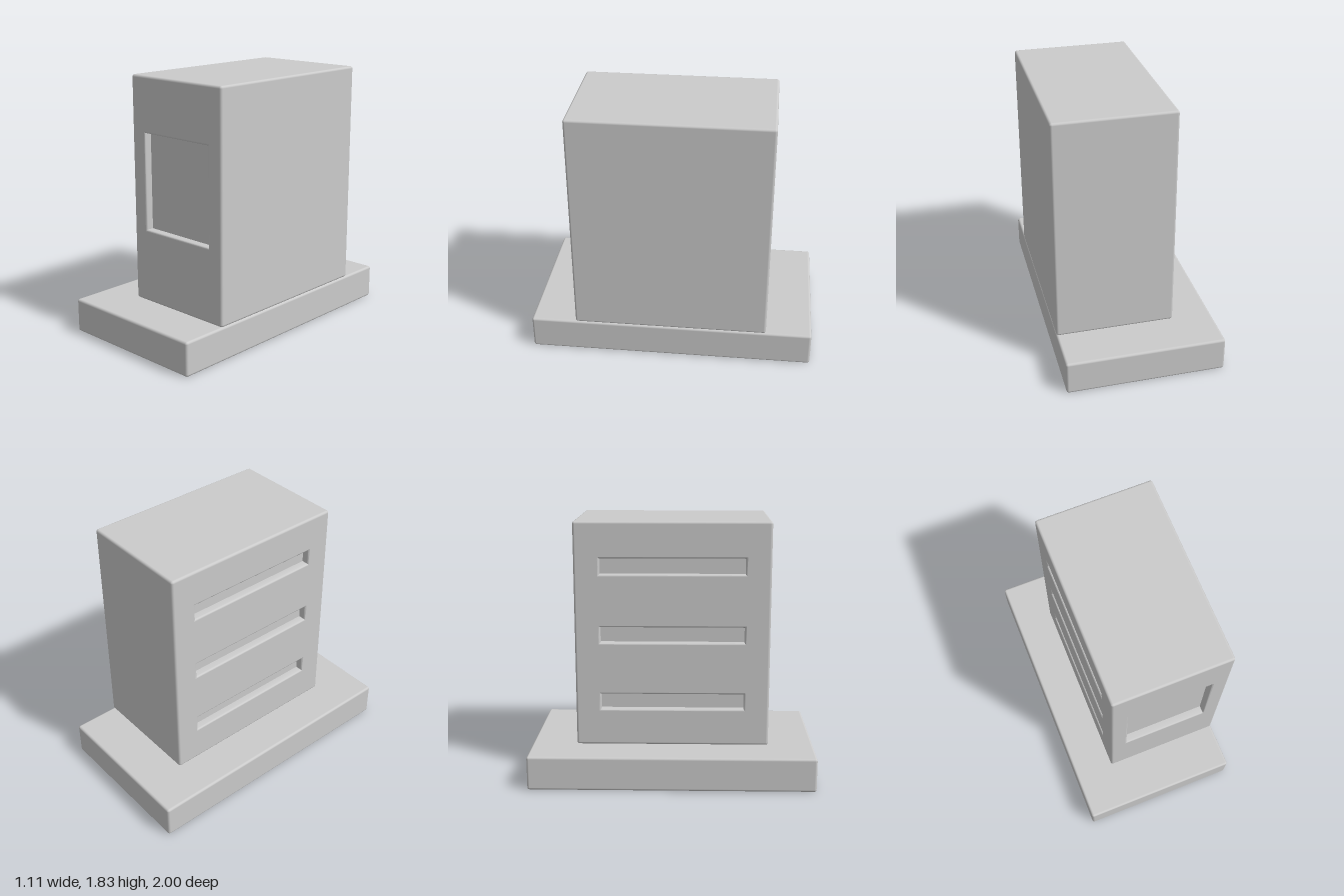
import * as THREE from 'three';
import { toCreasedNormals } from 'three/addons/utils/BufferGeometryUtils.js';

const material = new THREE.MeshStandardMaterial({ color: 0xcccccc });
const BEVEL = 0.017; // rounding of the outer edges
const RIM = 0.012;   // rounding of the recess rims

function addMesh(parent, name, geometry) {
  const mesh = new THREE.Mesh(geometry, material);
  mesh.name = name;
  parent.add(mesh);
  return mesh;
}

// Box with flat faces and rounded edges; faces listed in `open` lose their flat middle.
function softBox(w, h, d, open = []) {
  const g = new THREE.BoxGeometry(2, 2, 2, 5, 5, 5);
  const half = new THREE.Vector3(w / 2, h / 2, d / 2).subScalar(BEVEL);
  const p = g.attributes.position, n = g.attributes.normal;
  const v = new THREE.Vector3(), dir = new THREE.Vector3();
  const bend = (c) => Math.sign(c) * Math.round((Math.abs(c) - 0.2) / 0.4) / 2;
  for (let i = 0; i < p.count; i++) {
    v.fromBufferAttribute(p, i);
    dir.set(bend(v.x), bend(v.y), bend(v.z)).normalize();
    v.set(Math.sign(v.x), Math.sign(v.y), Math.sign(v.z)).multiply(half).addScaledVector(dir, BEVEL);
    p.setXYZ(i, v.x, v.y, v.z);
    n.setXYZ(i, dir.x, dir.y, dir.z);
  }
  const kept = [];
  const index = g.index.array;
  for (let i = 0; i < index.length; i += 3) {
    const tri = [index[i], index[i + 1], index[i + 2]];
    const flat = open.some((axis) => tri.every((k) => dir.fromBufferAttribute(n, k).dot(axis) > 0.999));
    if (!flat) kept.push(...tri);
  }
  g.setIndex(kept);
  g.clearGroups();
  return g;
}

// Flat face in XY with rectangular holes, each { x, y, w, h }.
function facePanel(w, h, holes) {
  const rect = (path, x, y, a, b) => {
    path.moveTo(x - a / 2, y - b / 2);
    path.lineTo(x + a / 2, y - b / 2);
    path.lineTo(x + a / 2, y + b / 2);
    path.lineTo(x - a / 2, y + b / 2);
    path.closePath();
    return path;
  };
  const shape = rect(new THREE.Shape(), 0, 0, w, h);
  for (const o of holes) shape.holes.push(rect(new THREE.Path(), o.x, o.y, o.w, o.h));
  return new THREE.ShapeGeometry(shape);
}

// Lining of a recess: rounded rim, straight walls and floor, sunk towards -z.
function recess({ x, y, w, h }, depth) {
  const steps = [];
  for (let i = 0; i <= 3; i++) {
    const a = (i / 3) * Math.PI / 2;
    steps.push([RIM * Math.sin(a), RIM * (1 - Math.cos(a))]);
  }
  steps.push([RIM, depth]);
  const loops = steps.map(([inset, sink]) =>
    [[-1, -1], [1, -1], [1, 1], [-1, 1]].map(([sx, sy]) =>
      [x + sx * (w / 2 - inset), y + sy * (h / 2 - inset), -sink]));
  const pts = [];
  const quad = (a, b, c, d) => pts.push(...a, ...b, ...c, ...a, ...c, ...d);
  for (let s = 0; s < loops.length - 1; s++) {
    for (let i = 0; i < 4; i++) {
      const j = (i + 1) % 4;
      quad(loops[s][i], loops[s][j], loops[s + 1][j], loops[s + 1][i]);
    }
  }
  quad(...loops[loops.length - 1]);
  const g = new THREE.BufferGeometry();
  g.setAttribute('position', new THREE.Float32BufferAttribute(pts, 3));
  return toCreasedNormals(g, 0.7);
}

export function createModel() {
  const model = new THREE.Group();
  model.name = 'cabinetOnPlinth';

  // Plinth
  addMesh(model, 'plinth', softBox(1.11, 0.24, 2)).position.y = 0.12;

  // Cabinet, flush with the plinth on one side
  const W = 0.83, H = 1.585, D = 1.36;
  const cabinet = new THREE.Group();
  cabinet.name = 'cabinet';
  cabinet.position.set(0.14, 0.24 + H / 2, 0);
  model.add(cabinet);
  addMesh(cabinet, 'cabinetShell',
    softBox(W, H, D, [new THREE.Vector3(0, 0, 1), new THREE.Vector3(-1, 0, 0)]));

  // Front face with its square window recess
  const front = new THREE.Group();
  front.name = 'frontFace';
  front.position.z = D / 2;
  cabinet.add(front);
  const window = { x: 0, y: 0.068, w: 0.615, h: 0.70 };
  addMesh(front, 'frontPanel', facePanel(W - 2 * BEVEL, H - 2 * BEVEL, [window]));
  addMesh(front, 'windowRecess', recess(window, 0.055));

  // Side face with three long slots
  const side = new THREE.Group();
  side.name = 'slottedSide';
  side.position.x = -W / 2;
  side.rotation.y = -Math.PI / 2;
  cabinet.add(side);
  const slots = [0.485, 0.005, -0.475].map((y) => ({ x: 0, y, w: 1.03, h: 0.135 }));
  addMesh(side, 'sidePanel', facePanel(D - 2 * BEVEL, H - 2 * BEVEL, slots));
  for (const slot of slots) addMesh(side, 'slot', recess(slot, 0.055));

  return model;
}
